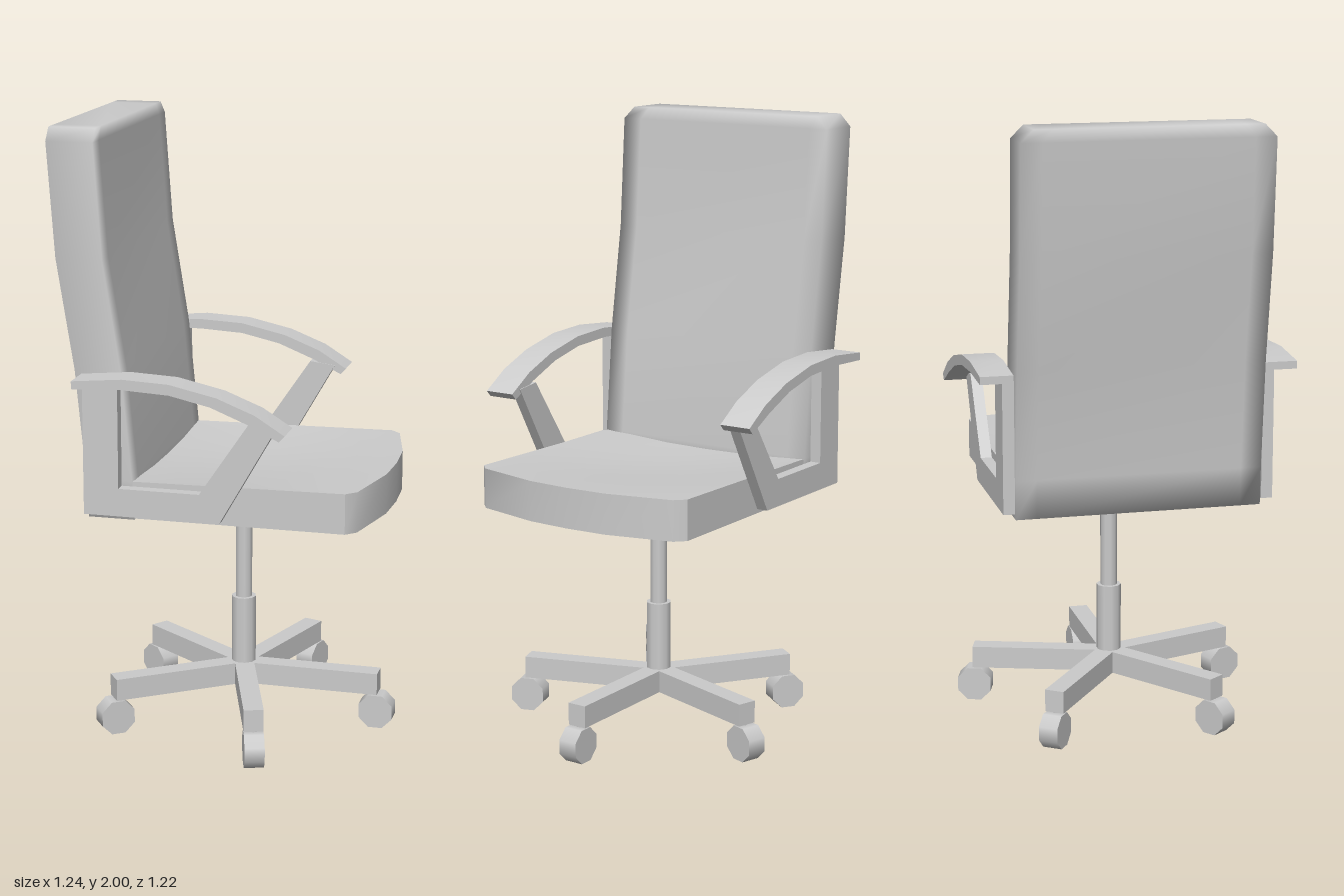
import * as THREE from 'three';
import { mergeVertices, toCreasedNormals } from 'three/addons/utils/BufferGeometryUtils.js';

const material = new THREE.MeshStandardMaterial({ color: 0xcccccc });

function addMesh(parent, name, geometry, x = 0, y = 0, z = 0) {
  const mesh = new THREE.Mesh(geometry, material);
  mesh.name = name;
  mesh.position.set(x, y, z);
  parent.add(mesh);
  return mesh;
}

// Move every vertex of a geometry by a rule
function reshape(geometry, rule) {
  const p = geometry.attributes.position;
  const v = new THREE.Vector3();
  for (let i = 0; i < p.count; i++) {
    rule(v.fromBufferAttribute(p, i));
    p.setXYZ(i, v.x, v.y, v.z);
  }
  return geometry;
}

// Piecewise linear lookup in [input, output] pairs
function lookup(points, t) {
  for (let i = 1; i < points.length; i++) {
    const [a, va] = points[i - 1], [b, vb] = points[i];
    if (t <= b) return va + (vb - va) * Math.max(0, (t - a) / (b - a));
  }
  return points[points.length - 1][1];
}

// Cushion with a bowed front edge and a slightly dished top
function seatGeometry() {
  const front = [[0, 0.567], [0.36, 0.56], [0.92, 0.51], [1, 0.478]];
  const columns = [-1, -0.92, -0.36, 0, 0.36, 0.92, 1];
  const box = new THREE.BoxGeometry(6, 1, 1, 6, 1, 6);
  reshape(box, v => {
    const s = columns[Math.round(v.x + 3)];
    const t = v.z + 0.5;
    const dish = 0.025 * (1 - s * s) * Math.sin(Math.PI * Math.min(1, t + 0.1));
    v.y = v.y > 0 ? 0.897 + 0.011 * t - dish : 0.778;
    v.x = s * 0.393;
    v.z = -0.3 + t * (lookup(front, Math.abs(s)) + 0.3);
  });
  return toCreasedNormals(box, 0.6);
}

// Tall padded back that leans further behind as it rises
function backGeometry() {
  const rows = [0.775, 0.9, 1.25, 1.6, 1.96, 2];
  const columns = [-0.397, -0.33, 0.33, 0.397];
  const lean = [[0.775, -0.272], [0.9, -0.278], [1.25, -0.311], [1.6, -0.367], [2, -0.395]];
  const box = new THREE.BoxGeometry(3, 5, 0.15, 3, 5, 1);
  reshape(box, v => {
    v.y = rows[Math.round(v.y + 2.5)];
    v.x = columns[Math.round(v.x + 1.5)];
    if (v.y === 2) v.x *= 0.9;
    v.z += lookup(lean, v.y);
  });
  box.deleteAttribute('uv');
  box.deleteAttribute('normal');
  const smooth = mergeVertices(box);
  smooth.computeVertexNormals();
  return smooth;
}

// Side profile given as (z, y), extruded along x from x0 to x1
function sideExtrude(profile, x0, x1) {
  const shape = new THREE.Shape(profile.map(([z, y]) => new THREE.Vector2(-z, y)));
  const geometry = new THREE.ExtrudeGeometry(shape, { depth: x1 - x0, bevelEnabled: false });
  geometry.rotateY(Math.PI / 2);
  geometry.translate(x0, 0, 0);
  return toCreasedNormals(geometry, 0.6);
}

const framePoints = [
  [-0.35, 0.795], [0.09, 0.795], [0.275, 1.12], [0.19, 1.13],
  [0.025, 0.885], [-0.236, 0.885], [-0.236, 1.22], [-0.35, 1.22],
];
const padPoints = [
  [-0.362, 1.24], [-0.2, 1.255], [-0.05, 1.248], [0.1, 1.215], [0.22, 1.168], [0.313, 1.11],
  [0.295, 1.09], [0.2, 1.137], [0.08, 1.185], [-0.05, 1.214], [-0.2, 1.222], [-0.362, 1.215],
];

export function createModel() {
  const model = new THREE.Group();
  const chair = new THREE.Group();
  chair.name = 'chair';
  chair.rotation.y = 0.927;
  model.add(chair);
  const body = new THREE.Group();
  body.name = 'body';
  body.position.x = -0.007;
  chair.add(body);

  addMesh(body, 'seat', seatGeometry());
  addMesh(body, 'backrest', backGeometry());

  // Armrests: open frame with a curved pad, mirrored across x
  for (const [side, name] of [[1, 'left'], [-1, 'right']]) {
    const arm = new THREE.Group();
    arm.name = name + 'Armrest';
    body.add(arm);
    const span = (a, b) => (side > 0 ? [a, b] : [-b, -a]);
    addMesh(arm, 'armFrame', sideExtrude(framePoints, ...span(0.4, 0.437)));
    addMesh(arm, 'armPad', sideExtrude(padPoints, ...span(0.403, 0.508)));
  }

  // Gas lift and five-spoke base
  const base = new THREE.Group();
  base.name = 'base';
  base.position.z = 0.06;
  body.add(base);
  addMesh(base, 'liftPiston', new THREE.CylinderGeometry(0.028, 0.028, 0.4, 10), 0, 0.59, 0);
  addMesh(base, 'liftSleeve', new THREE.CylinderGeometry(0.041, 0.041, 0.3, 10), 0, 0.265, 0);

  const wheel = new THREE.CylinderGeometry(0.06, 0.06, 0.064, 8);
  wheel.rotateY(Math.PI / 8);
  wheel.rotateZ(Math.PI / 2);
  for (let i = 0; i < 5; i++) {
    const spoke = new THREE.Group();
    spoke.name = 'spoke' + (i + 1);
    spoke.rotation.y = (i * Math.PI * 2) / 5;
    base.add(spoke);
    addMesh(spoke, 'leg', new THREE.BoxGeometry(0.064, 0.073, 0.46), 0, 0.153, 0.23);
    addMesh(spoke, 'casterStem', new THREE.CylinderGeometry(0.015, 0.015, 0.07, 8), 0, 0.105, 0.44);
    addMesh(spoke, 'casterWheel', wheel, 0, 0.057, 0.455);
  }
  return model;
}
